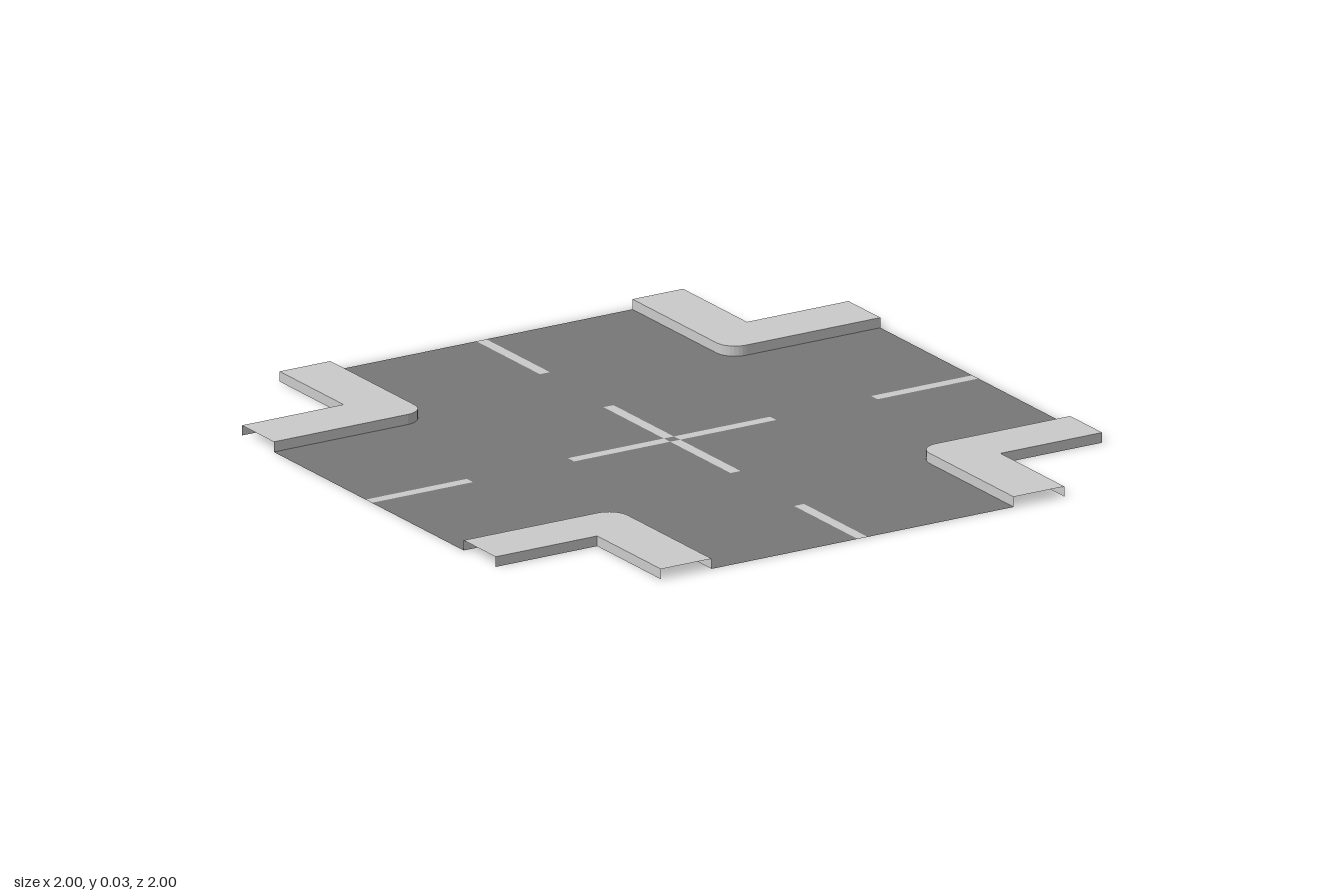
import * as THREE from 'three';

const HALF = 1, ROAD = 0.498, OUTER = 0.665, CURB_H = 0.03;
const RADIUS = 0.06, MARK = 0.0165, DASH = 1 / 3;

const curbMat = new THREE.MeshStandardMaterial({ color: 0xcccccc, side: THREE.DoubleSide, flatShading: true });
const markMat = new THREE.MeshStandardMaterial({ color: 0xcccccc, side: THREE.DoubleSide });
const roadMat = new THREE.MeshStandardMaterial({ color: 0x787878, side: THREE.DoubleSide });

const pts = (list) => list.map(([x, y]) => new THREE.Vector2(x, y));

// Flat polygon lying on the ground (plan y becomes -z)
function slab(points, y = 0) {
  return new THREE.ShapeGeometry(new THREE.Shape(points)).rotateX(-Math.PI / 2).translate(0, y, 0);
}

// Upright open wall that follows a plan path
function wall(path, height) {
  const pos = [], index = [];
  path.forEach((p, i) => {
    pos.push(p.x, 0, -p.y, p.x, height, -p.y);
    const a = 2 * i;
    if (i < path.length - 1) index.push(a + 2, a, a + 1, a + 2, a + 1, a + 3);
  });
  const g = new THREE.BufferGeometry();
  g.setAttribute('position', new THREE.Float32BufferAttribute(pos, 3));
  g.setIndex(index);
  g.computeVertexNormals();
  return g;
}

function add(parent, name, geometry, material) {
  const mesh = new THREE.Mesh(geometry, material);
  mesh.name = name;
  parent.add(mesh);
}

export function createModel() {
  const model = new THREE.Group();
  model.name = 'roadCrossing';

  // Rounded kerb line shared by the road and the pavement
  const c = ROAD + RADIUS;
  const arc = new THREE.EllipseCurve(c, c, RADIUS, RADIUS, -Math.PI / 2, Math.PI, true).getPoints(8);
  const kerbLine = [...pts([[HALF, ROAD]]), ...arc, ...pts([[ROAD, HALF]])];
  const outerLine = pts([[OUTER, HALF], [OUTER, OUTER], [HALF, OUTER]]);

  // One quarter of the road, notched where the lane markings lie
  const roadOutline = [
    ...pts([[MARK, MARK], [DASH, MARK], [DASH, 0], [2 * DASH, 0], [2 * DASH, MARK], [HALF, MARK]]),
    ...kerbLine,
    ...pts([[MARK, HALF], [MARK, 2 * DASH], [0, 2 * DASH], [0, DASH], [MARK, DASH]]),
  ];
  const roadGeo = slab(roadOutline);
  const pavementGeo = slab([...kerbLine, ...outerLine], CURB_H);
  const kerbGeo = wall(kerbLine, CURB_H);
  const outerGeo = wall(outerLine, CURB_H);
  const dash = (from, to) => slab(pts([[from, -MARK], [to, -MARK], [to, MARK], [from, MARK]]));
  const innerDash = dash(MARK, DASH), endDash = dash(2 * DASH, HALF);

  for (let i = 0; i < 4; i++) {
    const quarter = new THREE.Group();
    quarter.name = `quarter${i + 1}`;
    quarter.rotation.y = i * Math.PI / 2;
    add(quarter, 'road', roadGeo, roadMat);
    add(quarter, 'centreMarking', innerDash, markMat);
    add(quarter, 'endMarking', endDash, markMat);
    add(quarter, 'pavementTop', pavementGeo, curbMat);
    add(quarter, 'kerbWall', kerbGeo, curbMat);
    add(quarter, 'pavementOuterWall', outerGeo, curbMat);
    model.add(quarter);
  }

  // Small road square between the centre markings
  add(model, 'roadCentre', dash(-MARK, MARK), roadMat);
  return model;
}
